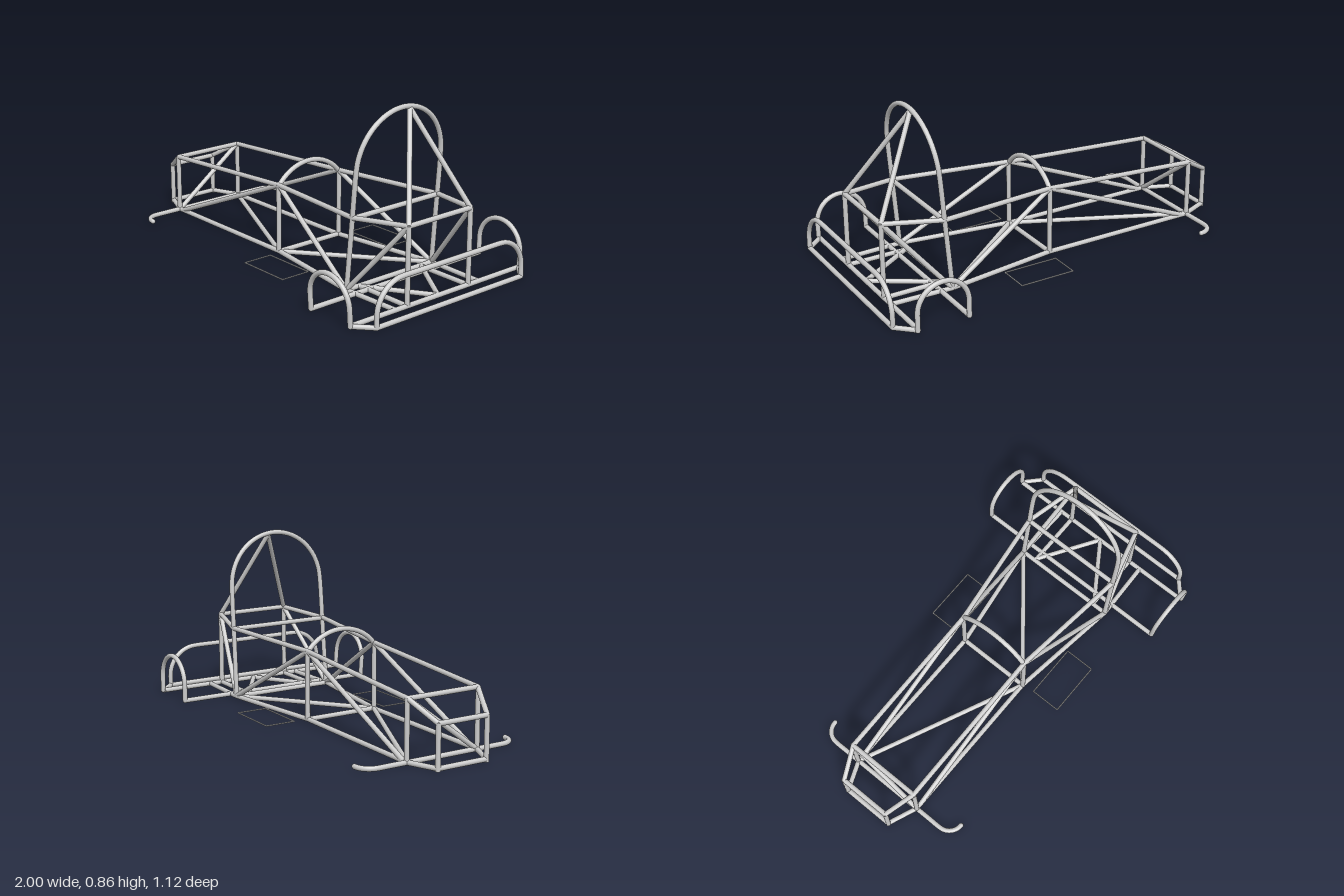
import * as THREE from 'three';

const R = 0.0125;   // tube radius
const CZ = -0.005;  // centre plane of the chassis
const Y0 = 0.0125;  // floor tube height
const mat = new THREE.MeshStandardMaterial({ color: 0xcccccc });
const V = (x, y, z) => new THREE.Vector3(x, y, z);

export function createModel() {
  const model = new THREE.Group();
  model.name = 'tubeChassis';

  const add = (parent, name, geo) => {
    const m = new THREE.Mesh(geo, mat);
    m.name = name;
    parent.add(m);
    return m;
  };

  // straight tube between two points
  const bar = (parent, name, a, b, r = R, sides = 14) => {
    const p = V(...a), q = V(...b), d = q.clone().sub(p);
    const m = add(parent, name, new THREE.CylinderGeometry(r, r, d.length(), sides));
    m.position.copy(p).add(q).multiplyScalar(0.5);
    m.quaternion.setFromUnitVectors(V(0, 1, 0), d.normalize());
  };

  // bent tube with capped ends
  const bent = (parent, name, pts, segs = 72) => {
    const curve = new THREE.CatmullRomCurve3(pts);
    add(parent, name, new THREE.TubeGeometry(curve, segs, R, 14));
    for (const p of [pts[0], pts[pts.length - 1]])
      add(parent, name + 'End', new THREE.SphereGeometry(R, 14, 8)).position.copy(p);
  };

  // outline of a hoop: legs, two corner arcs and an optional flat top
  const hoop = (half, top, rad, foot, place) => {
    const pts = [[-half, foot], [-half, (foot + top - rad) / 2]];
    const flat = half - rad;
    for (let i = 0; i <= 8; i++) {
      const a = (i / 8) * Math.PI / 2;
      pts.push([-flat - rad * Math.cos(a), top - rad + rad * Math.sin(a)]);
    }
    if (flat > 0.01) pts.push([-flat / 2, top], [0, top], [flat / 2, top]);
    else pts.pop();
    const mirrored = pts.filter(p => p[0] < -1e-6 && p[0] < 0).map(p => [-p[0], p[1]]).reverse();
    const left = pts.filter(p => p[0] < -1e-6);
    return [...left, [0, top], ...mirrored].map(([u, y]) => place(u, y));
  };

  // side frames, mirrored about the centre plane
  for (const s of [1, -1]) {
    const side = new THREE.Group();
    side.name = s > 0 ? 'leftSideFrame' : 'rightSideFrame';
    model.add(side);
    const at = (x, y, w) => [x, y, CZ + s * w];
    const chain = (name, pts) => {
      for (let i = 0; i + 1 < pts.length; i++) {
        bar(side, name, pts[i], pts[i + 1]);
        add(side, name + 'Joint', new THREE.SphereGeometry(R, 12, 8)).position.set(...pts[i]);
      }
    };
    chain('lowerRail', [at(-0.987, Y0, 0.133), at(-0.84, Y0, 0.193), at(0, Y0, 0.193),
      at(0.585, Y0, 0.275), at(0.9, Y0, 0.265)]);
    chain('upperRail', [at(-0.987, 0.215, 0.133), at(-0.84, 0.303, 0.193), at(0, 0.353, 0.193),
      at(0.615, 0.368, 0.27), at(0.9, 0.388, 0.195)]);
    bar(side, 'engineRail', at(0.6, Y0, 0.195), at(0.9, Y0, 0.195));
    bar(side, 'noseUpright', at(-0.987, 0, 0.133), at(-0.987, 0.22, 0.133));
    for (const [x, y] of [[-0.84, 0.305], [0, 0.355], [0.9, 0.39]])
      bar(side, 'upright', at(x, Y0, 0.195), at(x, y, 0.195));
    bar(side, 'frontDiagonal', at(-0.81, Y0, 0.193), at(0, 0.353, 0.193));
    bar(side, 'middleDiagonal', at(0, 0.353, 0.193), at(0.585, Y0, 0.275));
    bar(side, 'rearDiagonal', at(0.585, Y0, 0.275), at(0.9, 0.388, 0.195));
    bar(side, 'hoopBrace', [0.655, 0.835, -0.042], at(0.9, 0.388, 0.195));
    bar(side, 'rearFloorBrace', at(0.9, Y0, 0), at(0.59, Y0, 0.2));

    // front bumper hook
    const hook = [V(...at(-0.84, Y0, 0.19)), V(...at(-0.84, Y0, 0.27))];
    for (let i = 0; i <= 6; i++) {
      const a = (i / 6) * Math.PI / 2;
      hook.push(V(...at(-0.765 - 0.075 * Math.cos(a), Y0, 0.345 + 0.075 * Math.sin(a))));
    }
    bent(side, 'frontBumperHook', hook, 32);

    // rear wheel arch
    const lean = s > 0 ? 0.07 : 0;
    bent(side, 'wheelArch', hoop(0.13, 0.222, 0.13, Y0,
      (u, y) => V(0.775 + u, y, s > 0 ? 0.532 + lean * y : -0.548)));

    // corner link to the rear bumper
    bar(side, 'bumperLink', [0.9, Y0, s > 0 ? 0.532 : -0.548], at(0.987, Y0, 0.46));

    // thin side tray outline
    const z0 = CZ + s * 0.262 - 0.004, z1 = CZ + s * 0.418 - 0.004;
    const tray = [[0.01, 0.01, z0], [0.295, 0.01, z0], [0.295, 0.01, z1], [0.01, 0.01, z1]];
    tray.forEach((p, i) => bar(side, 'sideTray', p, tray[(i + 1) % 4], 0.0035, 6));
  }

  // cross members: x, y, half width
  const cross = new THREE.Group();
  cross.name = 'crossMembers';
  model.add(cross);
  for (const [x, y, w] of [[-0.987, Y0, 0.133], [-0.987, 0.215, 0.133], [-0.84, Y0, 0.193],
    [-0.84, 0.303, 0.193], [0, Y0, 0.193], [0.585, Y0, 0.275], [0.615, 0.365, 0.27],
    [0.9, 0.388, 0.195], [0.645, Y0, 0.537], [0.9, Y0, 0.537], [0.987, Y0, 0.46]])
    bar(cross, 'crossBar', [x, y, CZ - w], [x, y, CZ + w]);

  // diagonals in the floor and the front bulkhead
  bar(cross, 'frontFloorDiagonal', [-0.84, Y0, -0.198], [0, Y0, 0.188]);
  bar(cross, 'middleFloorDiagonal', [0, Y0, 0.188], [0.585, Y0, -0.28]);
  bar(cross, 'bulkheadDiagonal', [-0.84, Y0, 0.188], [-0.84, 0.303, -0.198]);

  // main roll hoop, leaning back
  bent(model, 'mainRollHoop', hoop(0.266, 0.845, 0.266, Y0,
    (u, y) => V(0.585 + 0.084 * (y - Y0), y, CZ + u * (1 + 0.03 * Math.max(0, 1 - y / 0.58)))), 96);

  // dash hoop
  const dash = [];
  for (let i = 0; i <= 12; i++) {
    const z = -0.195 + 0.39 * i / 12;
    dash.push(V(0, 0.195 + Math.sqrt(0.248 ** 2 - z * z), CZ + z));
  }
  bent(model, 'dashHoop', dash, 40);

  // rear bumper
  bent(model, 'rearBumper', hoop(0.458, 0.213, 0.15, Y0,
    (u, y) => V(0.987, y, CZ + u * (1 + 0.005))), 110);

  return model;
}
